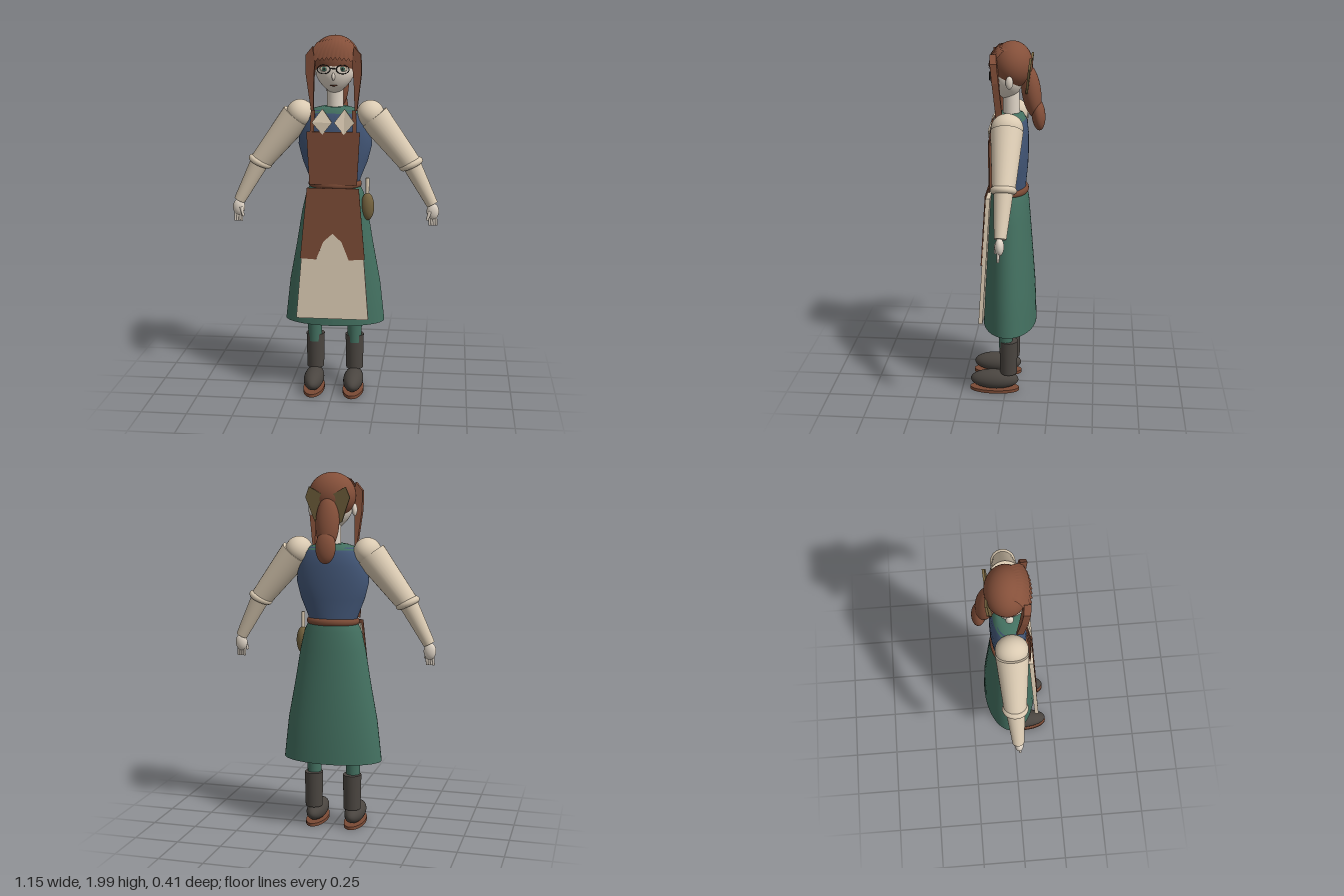
import * as THREE from 'three';

const mat = (name, color, side = THREE.FrontSide) => {
  const m = new THREE.MeshStandardMaterial({ color, side });
  m.name = name;
  return m;
};

export function createModel() {
  const root = new THREE.Group();
  root.name = 'apronWoman';
  const skin = mat('skin', 0xdfd4c6), cream = mat('cream linen', 0xdacab2);
  const leather = mat('leather', 0x7a4a35), hair = mat('auburn', 0x85503a, THREE.DoubleSide);
  const green = mat('green cloth', 0x437060), blue = mat('blue cloth', 0x435778);
  const boot = mat('boot', 0x4a4540), olive = mat('olive', 0x75633f, THREE.DoubleSide);
  const dark = mat('dark', 0x2b2724);

  const add = (name, geo, material, x = 0, y = 0, z = 0) => {
    const m = new THREE.Mesh(geo, material);
    m.name = name;
    m.position.set(x, y, z);
    root.add(m);
    return m;
  };
  const ball = (name, material, p, r) => {
    const m = add(name, new THREE.SphereGeometry(1, 32, 20), material, ...p);
    m.scale.set(...r);
    return m;
  };
  // Elliptical loft through rows of [y, radiusX, radiusZ, centreZ]
  const loft = (name, material, rows) => {
    const g = new THREE.LatheGeometry(rows.map((r, i) => new THREE.Vector2(1, i)), 48);
    const p = g.attributes.position;
    for (let i = 0; i < p.count; i++) {
      const [y, rx, rz, cz] = rows[i % rows.length];
      p.setXYZ(i, p.getX(i) * rx, y, p.getZ(i) * rz + cz);
    }
    g.computeVertexNormals();
    return add(name, g, material);
  };
  // Tapered limb between two points
  const limb = (name, material, a, b, ra, rb) => {
    const A = new THREE.Vector3(...a), B = new THREE.Vector3(...b), d = B.clone().sub(A);
    const m = add(name, new THREE.CylinderGeometry(rb, ra, d.length(), 28), material);
    m.position.copy(A).addScaledVector(d, 0.5);
    m.quaternion.setFromUnitVectors(new THREE.Vector3(0, 1, 0), d.normalize());
    return m;
  };
  // Flat outline with a thickness, its depth set by a rule
  const plate = (name, material, pts, depth, zAt) => {
    const g = new THREE.ExtrudeGeometry(new THREE.Shape(pts.map(q => new THREE.Vector2(...q))),
      { depth, bevelEnabled: false });
    const p = g.attributes.position;
    for (let i = 0; i < p.count; i++) p.setZ(i, p.getZ(i) + zAt(p.getX(i), p.getY(i)));
    g.computeVertexNormals();
    return add(name, g, material);
  };
  const mirror = pts => pts.concat(pts.filter(q => q[0] !== 0).map(([x, y]) => [-x, y]).reverse());

  // Dress
  loft('skirt', green, [[0.41, 0, 0, -0.017], [0.41, 0.28, 0.15, -0.017], [0.41, 0.28, 0.15, -0.017],
    [0.5, 0.27, 0.147, -0.017], [0.64, 0.254, 0.142, -0.017], [0.85, 0.215, 0.128, -0.015],
    [1.03, 0.185, 0.116, -0.013], [1.14, 0.16, 0.108, -0.012], [1.19, 0.135, 0.098, -0.012]]);
  loft('bodice', blue, [[1.16, 0.13, 0.09, -0.015], [1.22, 0.14, 0.088, -0.015], [1.32, 0.18, 0.093, -0.02],
    [1.41, 0.203, 0.097, -0.02], [1.5, 0.195, 0.096, -0.02], [1.57, 0.165, 0.088, -0.02],
    [1.6, 0.13, 0.072, -0.02]]);
  loft('neckline', green, [[1.585, 0.15, 0.08, -0.02], [1.605, 0.12, 0.07, -0.02], [1.618, 0.07, 0.055, -0.02],
    [1.618, 0, 0, -0.02]]);
  const belt = add('belt', new THREE.TorusGeometry(0.128, 0.02, 12, 48), leather, 0, 1.192, -0.012);
  belt.rotation.x = Math.PI / 2;
  belt.scale.y = 0.72;

  // Apron
  const apronZ = (x, y) => 0.145 - (y - 0.455) * 0.055;
  plate('apronLining', cream, mirror([[-0.2, 0.455], [-0.172, 0.8], [-0.132, 1.165]]).reverse(), 0.022,
    (x, y) => apronZ(x, y) - 0.022);
  plate('apronOverlay', leather, mirror([[0, 0.935], [0.05, 0.89], [0.09, 0.79], [0.178, 0.795], [0.142, 1.185]]),
    0.006, apronZ);
  plate('apronBib', leather, mirror([[0.13, 1.2], [0.145, 1.49]]), 0.006, () => 0.085);

  // Face and neck
  limb('neck', skin, [0, 1.58, -0.022], [0, 1.75, -0.02], 0.046, 0.044);
  const headGeo = new THREE.SphereGeometry(1, 36, 24), hp = headGeo.attributes.position;
  for (let i = 0; i < hp.count; i++) {
    const k = Math.max(0, -hp.getY(i)) ** 2 * 0.4;
    hp.setX(i, hp.getX(i) * (1 - k));
    hp.setZ(i, hp.getZ(i) * (1 - k * 0.4) + k * 0.15);
  }
  headGeo.computeVertexNormals();
  add('head', headGeo, skin, 0, 1.81, -0.005).scale.set(0.105, 0.122, 0.083);
  ball('nose', skin, [0, 1.785, 0.077], [0.009, 0.02, 0.012]);
  ball('mouth', leather, [0, 1.737, 0.066], [0.021, 0.004, 0.006]);
  const bridge = add('glassesBridge', new THREE.BoxGeometry(0.034, 0.005, 0.005), dark, 0, 1.828, 0.087);
  bridge.castShadow = false;

  // Hair
  ball('hairCap', hair, [0, 1.875, -0.028], [0.13, 0.125, 0.108]);
  ball('ponytailUpper', hair, [0, 1.735, -0.128], [0.064, 0.145, 0.052]).rotation.x = 0.15;
  ball('ponytailLower', hair, [0, 1.608, -0.167], [0.055, 0.088, 0.037]).rotation.x = 0.1;
  // Fringe: a curved sheet with a pleated, jagged hem
  const fringeRows = [[1.992, 0, 0.075], [1.975, 0.05, 0.1], [1.93, 0.088, 0.125], [1.872, 0.1, 0.14]];
  const cols = 24, fringe = new THREE.PlaneGeometry(1, 1, cols, fringeRows.length - 1);
  const fp = fringe.attributes.position;
  for (let i = 0; i < fp.count; i++) {
    const c = i % (cols + 1), r = Math.floor(i / (cols + 1)), [y, z, w] = fringeRows[r];
    const u = c / cols * 2 - 1, pleat = (c % 2) * r / 3;
    fp.setXYZ(i, u * w, y - u * u * 0.02 + pleat * 0.016, z - u * u * 0.03 - pleat * 0.008);
  }
  fringe.computeVertexNormals();
  add('fringe', fringe, hair);

  // Mirrored parts
  for (const s of [1, -1]) {
    const side = s > 0 ? 'left' : 'right';
    const flip = pts => s > 0 ? pts : pts.map(([x, y]) => [-x, y]).reverse();

    plate(side + 'SideLock', hair, flip([[0.1, 1.86], [0.108, 1.75], [0.112, 1.6], [0.125, 1.6], [0.15, 1.8],
      [0.148, 1.9], [0.11, 1.945]]), 0.035, (x, y) => 0.015 + (y - 1.6) * 0.1);
    plate(side + 'RibbonLoop', olive, flip([[0.02, 1.88], [0.04, 1.72], [0.075, 1.74], [0.122, 1.87],
      [0.1, 1.925]]), 0.012, (x, y) => -0.115 - (y - 1.75) * 0.12);
    plate(side + 'CollarPoint', cream, flip([[0.058, 1.475], [0.115, 1.54], [0.06, 1.612], [0.006, 1.54]]),
      0.008, (x, y) => 0.086 - Math.max(0, y - 1.54) * 0.3);
    plate(side + 'ApronStrap', leather, flip([[0.105, 1.48], [0.127, 1.48], [0.122, 1.605], [0.1, 1.605]]),
      0.008, (x, y) => 0.083 - Math.max(0, y - 1.54) * 0.3);

    ball(side + 'Ear', skin, [s * 0.122, 1.8, -0.02], [0.014, 0.034, 0.02]);
    ball(side + 'Eye', cream, [s * 0.05, 1.825, 0.066], [0.024, 0.014, 0.008]);
    ball(side + 'Iris', green, [s * 0.05, 1.825, 0.073], [0.012, 0.012, 0.004]);
    ball(side + 'Pupil', dark, [s * 0.05, 1.825, 0.076], [0.005, 0.006, 0.003]);
    const rim = add(side + 'GlassesRim', new THREE.TorusGeometry(0.034, 0.0028, 8, 32), dark, s * 0.051, 1.824, 0.087);
    rim.scale.y = 0.68;

    // Sleeves and hands
    ball(side + 'Shoulder', cream, [s * 0.193, 1.575, -0.015], [0.076, 0.078, 0.085]);
    limb(side + 'UpperSleeve', cream, [s * 0.212, 1.56, -0.015], [s * 0.415, 1.305, -0.015], 0.086, 0.06);
    const cuff = add(side + 'Cuff', new THREE.TorusGeometry(0.05, 0.019, 12, 32), cream, s * 0.417, 1.306, -0.015);
    cuff.quaternion.setFromUnitVectors(new THREE.Vector3(0, 0, 1), new THREE.Vector3(s * 0.42, -0.9, 0).normalize());
    limb(side + 'Forearm', cream, [s * 0.417, 1.31, -0.015], [s * 0.537, 1.085, -0.008], 0.052, 0.032);
    ball(side + 'Hand', skin, [s * 0.541, 1.045, -0.004], [0.034, 0.047, 0.024]);
    for (let f = 0; f < 4; f++)
      limb(side + 'Finger', skin, [s * (0.522 + f * 0.012), 1.02, 0], [s * (0.526 + f * 0.012), 0.968, 0.002], 0.008, 0.006);
    limb(side + 'Thumb', skin, [s * 0.525, 1.05, 0.015], [s * 0.512, 1.0, 0.02], 0.01, 0.007);

    // Legs and boots
    limb(side + 'Stocking', green, [s * 0.113, 0.28, 0], [s * 0.113, 0.55, 0], 0.038, 0.046);
    limb(side + 'BootShaft', boot, [s * 0.112, 0.12, -0.016], [s * 0.112, 0.32, -0.016], 0.048, 0.052);
    ball(side + 'BootFoot', boot, [s * 0.112, 0.075, 0.064], [0.056, 0.056, 0.137]);
    const sole = add(side + 'Sole', new THREE.CylinderGeometry(1, 1, 0.018, 36), leather, s * 0.112, 0.018, 0.064);
    sole.scale.set(0.059, 1, 0.14);
  }

  // Pouch with a rolled paper
  ball('pouch', olive, [0.183, 1.07, 0.02], [0.037, 0.077, 0.034]);
  limb('paperRoll', cream, [0.182, 1.08, 0.02], [0.182, 1.23, 0.02], 0.01, 0.01);
  return root;
}
